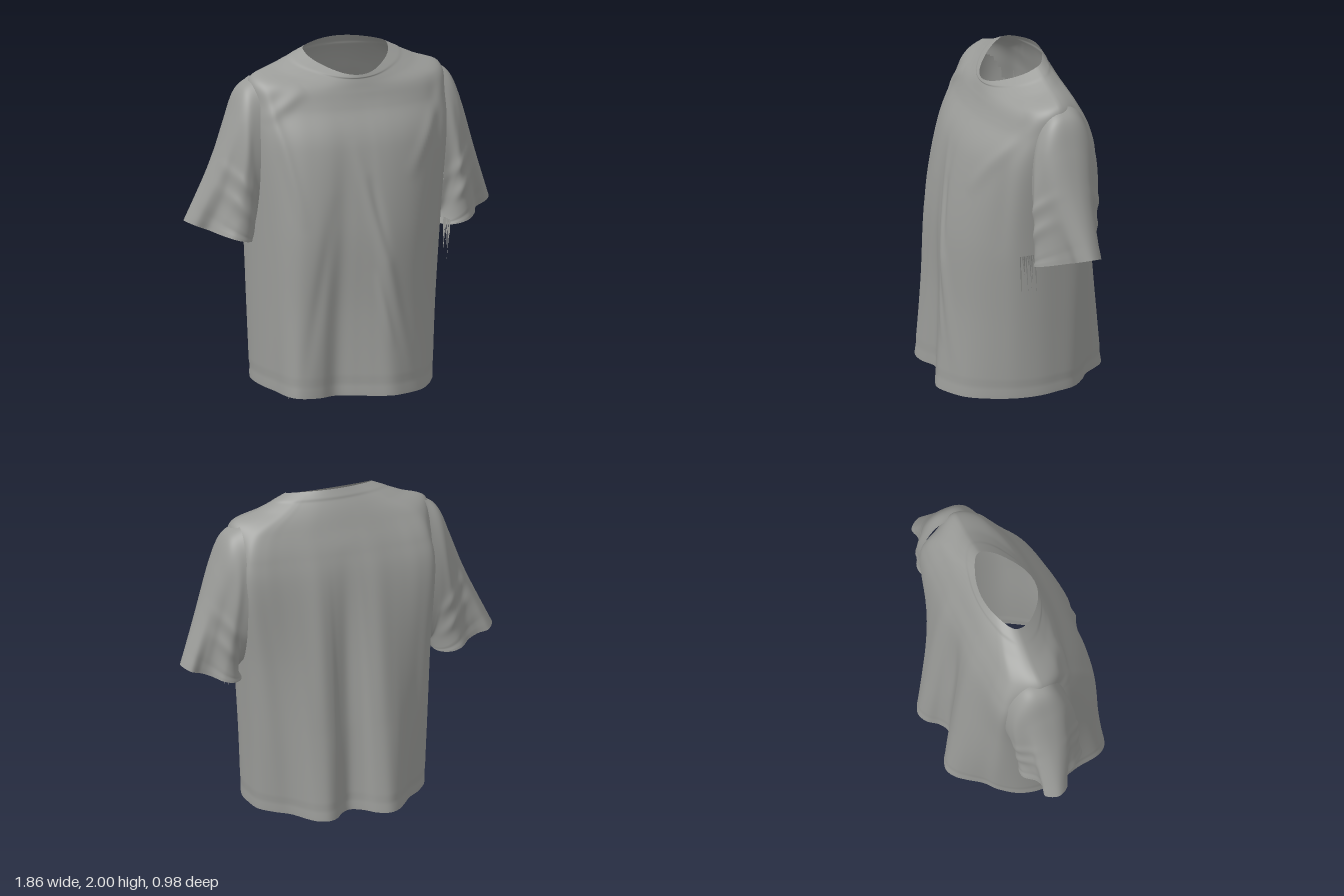
import * as THREE from 'three';

const V = (x, y, z) => new THREE.Vector3(x, y, z);
const mix = (a, b, f) => a + (b - a) * f;

// Closed smooth outline through a few [x, z] points
const outline = (pts) => new THREE.CatmullRomCurve3(pts.map(([x, z]) => V(x, 0, z)), true, 'catmullrom', 0.5);

// Skin a surface through key rings; ring(k, t) gives the point of ring k at turn t
function loft(ring, ringCount, cols, rowsPerKey, deform, skip) {
  const rows = (ringCount - 1) * rowsPerKey;
  const pos = [], index = [], pts = [], columns = [];
  for (let c = 0; c < cols; c++) {
    const keys = [];
    for (let k = 0; k < ringCount; k++) keys.push(ring(k, c / cols));
    columns.push(new THREE.CatmullRomCurve3(keys, false, 'catmullrom', 0.5));
  }
  for (let r = 0; r <= rows; r++) {
    for (let c = 0; c < cols; c++) {
      const p = columns[c].getPoint(r / rows);
      deform(p, c / cols, r / rows);
      pts.push(p);
      pos.push(p.x, p.y, p.z);
    }
  }
  for (let r = 0; r < rows; r++) {
    for (let c = 0; c < cols; c++) {
      const a = r * cols + c, b = r * cols + (c + 1) % cols;
      if (skip && skip(pts[a])) continue;
      index.push(a, b, a + cols, b, b + cols, a + cols);
    }
  }
  const g = new THREE.BufferGeometry();
  g.setAttribute('position', new THREE.Float32BufferAttribute(pos, 3));
  g.setIndex(index);
  g.computeVertexNormals();
  return g;
}

// Height of a soft crease running from (x0, y0) to (x1, y1)
function crease(x, y, [x0, y0, x1, y1, width, amp]) {
  const dx = x1 - x0, dy = y1 - y0, len2 = dx * dx + dy * dy;
  const s = ((x - x0) * dx + (y - y0) * dy) / len2;
  if (s <= 0 || s >= 1) return 0;
  const d = ((x - x0) * dy - (y - y0) * dx) / Math.sqrt(len2);
  return amp * Math.sin(Math.PI * s) * Math.exp(-(d * d) / (width * width));
}

// Wavy hem outline, from front centre round by the left side
const hem = outline([
  [0, .455], [.1, .487], [.2, .46], [.3, .41], [.37, .34], [.43, .25], [.48, .15],
  [.51, .03], [.51, -.08], [.49, -.19], [.42, -.27], [.34, -.33], [.28, -.41], [.23, -.465],
  [.165, -.49], [.105, -.465], [.06, -.41], [0, -.378], [-.07, -.41], [-.13, -.465], [-.2, -.49],
  [-.26, -.465], [-.31, -.41], [-.37, -.33], [-.44, -.27], [-.51, -.17], [-.54, -.05], [-.53, .08],
  [-.5, .2], [-.485, .32], [-.45, .385], [-.385, .41], [-.3, .405], [-.2, .37], [-.1, .41],
]);

// Boxier chest outline with the same landmarks
const chest = outline([
  [0, .34], [.06, .34], [.15, .336], [.26, .317], [.37, .28], [.47, .225], [.55, .16],
  [.585, .06], [.59, -.06], [.585, -.2], [.562, -.29], [.47, -.312], [.37, -.31], [.28, -.312],
  [.18, -.32], [.11, -.32], [.06, -.32], [0, -.32], [-.06, -.32], [-.11, -.32], [-.18, -.32],
  [-.28, -.312], [-.37, -.31], [-.47, -.312], [-.562, -.29], [-.585, -.2], [-.59, -.06], [-.585, .06],
  [-.55, .16], [-.48, .22], [-.39, .272], [-.3, .305], [-.22, .326], [-.14, .336], [-.07, .34],
]);

// Body rings: half width, x shift, front/middle/back z, front/side/back y,
// roundness, share of the hem outline
const bodyRings = [
  [.53, 0, .44, -.05, -.44, .035, .07, .08, 0, 1],
  [.57, 0, .36, -.05, -.34, .5, .5, .5, 0, .72],
  [.58, .01, .39, -.06, -.32, 1, 1, 1, 0, .42],
  [.59, .02, .33, -.06, -.32, 1.45, 1.45, 1.45, 0, .1],
  [.59, .025, .238, -.06, -.295, 1.66, 1.68, 1.65, .15, 0],
  [.575, .025, .203, -.06, -.25, 1.75, 1.825, 1.79, .45, 0],
  [.42, .02, .186, -.06, -.21, 1.8, 1.89, 1.9, .75, 0],
  [.25, .024, .17, -.05, -.155, 1.84, 1.965, 2, 1, 0],
];

function bodyRing(k, t) {
  const [w, sx, zf, zc, zb, yf, ys, yb, round, share] = bodyRings[k];
  const c = chest.getPoint(t), h = hem.getPoint(t);
  const ux = c.x / .59, uz = (c.z + .06) / (c.z > -.06 ? .4 : .26);
  const a = Math.atan2(ux, uz), sin = Math.sin(a), cos = Math.cos(a);
  // the neck opening is a little pointed at its sides
  const pinch = 1 - .3 * round * sin * sin * cos * cos;
  const x = mix(ux, sin, round) * pinch, z = mix(uz, cos, round) * pinch;
  const p = V(sx + w * x, mix(ys, z > 0 ? yf : yb, Math.abs(z)), mix(zc, z > 0 ? zf : zb, Math.abs(z)));
  p.x = mix(p.x, h.x, share);
  p.z = mix(p.z, h.z, share);
  return p;
}

// Creases on the chest and on the back
const frontCreases = [
  [-.08, 1.5, .24, .15, .035, .015], [0, 1.3, .1, .8, .03, -.014], [-.2, 1.2, -.4, .1, .04, -.01],
  [-.53, 1.85, -.38, 1.0, .03, .013], [-.55, 1.6, -.3, 1.78, .035, .013], [.58, 1.75, .25, 1.25, .04, .013],
  [.5, 1.8, .46, .9, .04, -.012], [.02, .75, .12, .3, .02, .008],
];
const backCreases = [
  [-.19, 1.75, -.19, .6, .06, -.008], [.17, 1.75, .17, .6, .06, -.008], [0, 1.7, 0, .6, .05, .008],
];

function bodyDeform(p, t, v) {
  const front = p.z > -.06;
  let d = 0;
  for (const f of front ? frontCreases : backCreases) d += crease(p.x, p.y, f);
  p.z += d * Math.min(1, Math.abs(p.z + .06) * 6);
  // stitched hem groove and raised neck rib
  const groove = -.005 * Math.exp(-Math.pow((v - .02) / .005, 2));
  const rib = .006 * THREE.MathUtils.smoothstep(v, .915, .945);
  const k = 1 + (groove + rib) / Math.max(.15, Math.hypot(p.x, p.z));
  p.x *= k;
  p.z *= k;
}

// Open armholes, hidden under the sleeves
const inArmhole = (p) => Math.abs(p.x) > .5 &&
  Math.pow((p.y - 1.4) / .34, 2) + Math.pow((p.z + .08) / .15, 2) < 1;

// Pinched cuff outline, from the outer tip round by the front
const cuff = outline([
  [.93, -.12], [.89, -.05], [.82, -.03], [.78, .05], [.72, .12], [.65, .125], [.59, .07],
  [.57, -.05], [.58, -.17], [.64, -.24], [.71, -.245], [.77, -.19], [.83, -.175], [.89, -.19],
]);

// Sleeve rings: top x/y, bottom x/y, z middle, z radius, share of the cuff outline
const sleeveRings = [
  [.55, 1.825, .55, .98, -.085, .19, 0],
  [.635, 1.76, .565, .96, -.08, .187, 0],
  [.7, 1.6, .57, .95, -.07, .187, .05],
  [.79, 1.345, .57, .93, -.06, .187, .35],
  [.93, 1.01, .57, .9, -.06, .18, 1],
];

// shift moves the shoulder end of the sleeve outward
const sleeveRing = (shift) => (k, t) => {
  const [xt, yt, xb, yb, zc, rz, share] = sleeveRings[k];
  const a = t * Math.PI * 2, m = (1 + Math.cos(a)) / 2;
  const q = cuff.getPoint(t), u = Math.max(0, (q.x - .57) / .36);
  const side = Math.sign(Math.sin(a)) * Math.pow(Math.abs(Math.sin(a)), .8);
  return V(
    mix(mix(xb, xt, m), mix(xb, xt, u), share) + shift * (1 - share),
    mix(mix(yb, yt, m), mix(yb, yt, Math.pow(u, 1.4)), share),
    mix(zc + rz * side, q.z, share));
};

const sleeveCreases = [
  [.57, 1.15, .8, 1.4, .03, .012], [.57, 1.0, .8, 1.25, .03, .012],
  [.6, 1.75, .68, 1.05, .03, .012], [.66, 1.6, .78, .95, .03, -.012],
];

function sleeveDeform(p, t, v) {
  const s = Math.sin(t * Math.PI * 2);
  let d = 0;
  for (const f of sleeveCreases) d += crease(p.x, p.y, f);
  // cuff stitching
  d -= .004 * Math.exp(-Math.pow((v - .94) / .015, 2));
  p.z += d * s;
}

// Thin loose threads hanging from a torn edge
function threads(count, x, y, z, spread, length) {
  const pos = [];
  for (let i = 0; i < count; i++) {
    const f = i / (count - 1) - .5, zz = z + f * spread;
    const l = length * (.65 + .35 * Math.cos(i * 2.4));
    pos.push(x, y, zz - .005, x + .004, y, zz + .005, x + .015 * Math.sin(i * 3), y - l, zz - .012);
  }
  const g = new THREE.BufferGeometry();
  g.setAttribute('position', new THREE.Float32BufferAttribute(pos, 3));
  g.computeVertexNormals();
  return g;
}

export function createModel() {
  const model = new THREE.Group();
  model.name = 'tShirt';
  const cloth = new THREE.MeshStandardMaterial({ color: 0x9a9b98, side: THREE.DoubleSide });
  cloth.name = 'greyCloth';
  const add = (name, geometry) => {
    const mesh = new THREE.Mesh(geometry, cloth);
    mesh.name = name;
    model.add(mesh);
    return mesh;
  };

  add('body', loft(bodyRing, bodyRings.length, 210, 18, bodyDeform, inArmhole));

  const sleeve = (shift) => loft(sleeveRing(shift), sleeveRings.length, 96, 14, sleeveDeform);
  add('leftSleeve', sleeve(.025));
  add('rightSleeve', sleeve(-.02)).scale.x = -1;

  add('underarmThreads', threads(9, .575, .95, .13, .09, .24));
  add('hemThreads', threads(6, -.44, .07, .2, .08, .07));
  return model;
}
